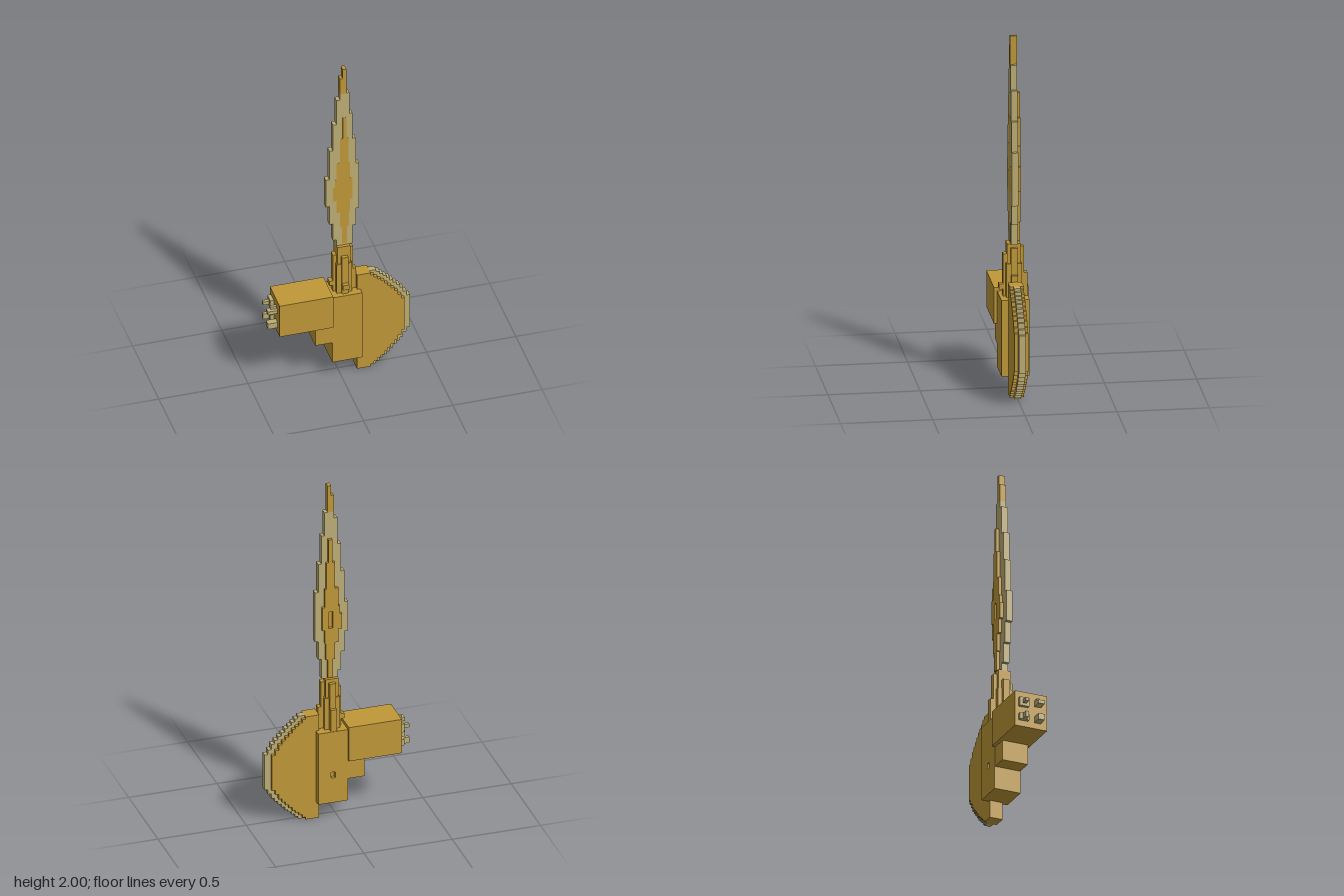
import * as THREE from 'three';

const gold = new THREE.MeshStandardMaterial({ color: 0xc09838 });
gold.name = 'gold';
const tan = new THREE.MeshStandardMaterial({ color: 0xbdae76 });
tan.name = 'tan';

export function createModel() {
  const model = new THREE.Group();
  model.name = 'steppedBladeTool';

  function box(name, mat, x0, x1, y0, y1, z0, z1) {
    const mesh = new THREE.Mesh(new THREE.BoxGeometry(x1 - x0, y1 - y0, z1 - z0), mat);
    mesh.position.set((x0 + x1) / 2, (y0 + y1) / 2, (z0 + z1) / 2);
    mesh.name = name;
    model.add(mesh);
  }

  function slab(name, mat, points, z0, z1, hole) {
    const shape = new THREE.Shape(points.map(([x, y]) => new THREE.Vector2(x, y)));
    if (hole) {
      const [x0, x1, y0, y1] = hole;
      shape.holes.push(new THREE.Path([[x0, y0], [x0, y1], [x1, y1], [x1, y0]].map(([x, y]) => new THREE.Vector2(x, y))));
    }
    const geo = new THREE.ExtrudeGeometry(shape, { depth: z1 - z0, bevelEnabled: false });
    geo.translate(0, 0, z0);
    const mesh = new THREE.Mesh(geo, mat);
    mesh.name = name;
    model.add(mesh);
  }

  // Stepped outline: right and left edges are lists of [top y, x], rising from y0
  function stepped(y0, right, left) {
    const climb = (edge) => {
      const pts = [];
      let y = y0;
      for (const [top, x] of edge) {
        pts.push([x, y], [x, top]);
        y = top;
      }
      return pts;
    };
    return [...climb(right), ...climb(left).reverse()];
  }

  // Blade with contrasting tip
  slab('blade', tan, stepped(0.83,
    [[0.95, 0.08], [1.06, 0.098], [1.36, 0.117], [1.53, 0.098], [1.7, 0.08], [1.84, 0.063]],
    [[0.87, -0.01], [0.98, -0.03], [1.1, -0.05], [1.28, -0.07], [1.47, -0.05], [1.64, -0.03], [1.8, -0.01], [1.84, 0.01]]),
  -0.018, 0.018);
  slab('bladeTip', gold, stepped(1.84, [[2, 0.045]], [[1.94, 0.01], [2, 0.025]]), -0.018, 0.018);

  // Inlay on the front face and raised ridge with a slot on the back
  const ridge = stepped(0.84,
    [[0.95, 0.05], [1.05, 0.06], [1.13, 0.065], [1.27, 0.08], [1.38, 0.065], [1.54, 0.058], [1.68, 0.045]],
    [[0.95, 0.02], [1.05, 0.01], [1.13, -0.01], [1.22, -0.03], [1.27, -0.018], [1.38, -0.01], [1.54, 0.01], [1.68, 0.025]]);
  slab('bladeInlay', gold, ridge, -0.019, 0.019);
  slab('bladeRidge', gold, ridge, -0.036, -0.018, [0.022, 0.046, 1.14, 1.24]);

  // Neck: core with ribs and studs
  box('neckCore', gold, -0.01, 0.062, 0.52, 0.83, -0.036, 0.036);
  box('neckCollar', gold, -0.016, 0.07, 0.53, 0.72, -0.042, 0.042);
  box('neckFrontRib', gold, 0.01, 0.045, 0.53, 0.77, 0.03, 0.056);
  box('neckFrontStud', gold, 0.01, 0.045, 0.57, 0.6, 0.05, 0.078);
  box('neckBackRib', gold, 0.01, 0.045, 0.53, 0.81, -0.056, -0.03);
  box('neckBackFin', gold, 0.01, 0.045, 0.53, 0.66, -0.075, -0.05);
  box('neckLeftRib', gold, 0.06, 0.082, 0.53, 0.81, -0.018, 0.018);
  box('neckLeftFin', gold, 0.08, 0.1, 0.53, 0.66, -0.018, 0.018);
  box('neckRightRib', gold, -0.03, -0.01, 0.53, 0.77, -0.018, 0.018);
  box('neckRightStud', gold, -0.05, -0.03, 0.57, 0.6, -0.018, 0.018);

  // Central body with a small socket in the back
  box('body', gold, -0.05, 0.118, 0.1, 0.53, -0.06, 0.075);
  slab('bodyBack', gold, [[-0.05, 0.1], [0.118, 0.1], [0.118, 0.53], [-0.05, 0.53]], -0.078, -0.06, [0.022, 0.045, 0.25, 0.285]);
  box('lowerBlock', gold, -0.145, -0.05, 0.23, 0.35, -0.075, 0.074);
  box('sideHousing', gold, -0.35, -0.05, 0.345, 0.55, -0.095, 0.093);

  // Half disc: stepped gold plate with a narrower tan rim
  const halfHeights = [0.3125, 0.298, 0.28, 0.263, 0.248, 0.227, 0.207, 0.187, 0.165, 0.135, 0.107];
  function halfDisc(name, mat, x0, firstX, halfThickness) {
    const upper = [];
    const step = 0.019;
    halfHeights.forEach((h, i) => {
      upper.push([i ? firstX + (i - 1) * step : x0, h], [firstX + i * step, h]);
    });
    const lower = upper.map(([x, h]) => [x, 0.3125 - h]);
    const top = upper.map(([x, h]) => [x, 0.3125 + h]).reverse();
    slab(name, mat, [...lower, ...top], -halfThickness, halfThickness);
  }
  halfDisc('discPlate', gold, 0.1, 0.176, 0.038);
  halfDisc('discRim', tan, 0.176, 0.212, 0.018);

  // Prongs on the end of the side housing
  for (const [y0, y1] of [[0.475, 0.495], [0.38, 0.415]]) {
    box('backProng', tan, -0.405, -0.37, y0, y1, -0.058, -0.039);
    box('frontProng', tan, -0.405, -0.385, y0, y1, 0.018, 0.055);
    box('frontProngArm', tan, -0.385, -0.35, y0, y1, 0.018, 0.055);
  }
  box('upperBackMount', tan, -0.37, -0.35, 0.46, 0.51, -0.076, -0.02);
  box('lowerBackMount', tan, -0.37, -0.35, 0.38, 0.415, -0.076, -0.02);
  box('upperFrontMount', tan, -0.385, -0.35, 0.49, 0.51, 0.018, 0.036);

  return model;
}
